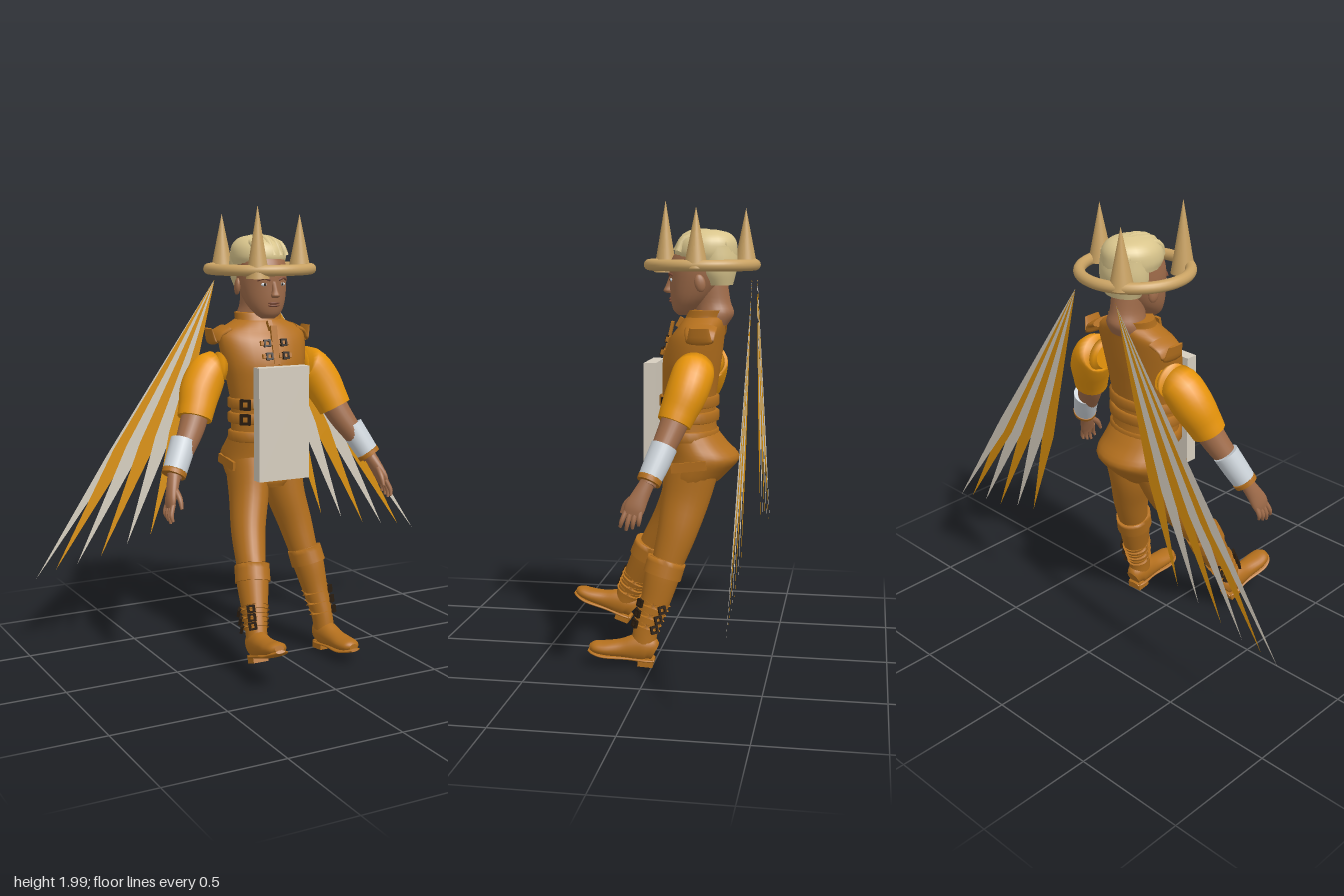
import * as THREE from 'three';

const mat = (name, color, extra = {}) => Object.assign(new THREE.MeshStandardMaterial({ color, ...extra }), { name });

export function createModel() {
  const root = new THREE.Group();
  const leather = mat('leather', 0xb36f1d), orange = mat('orange', 0xf79f0c);
  const skin = mat('skin', 0xa06c4a), lip = mat('lip', 0x7c4a36), hairMat = mat('hair', 0xd9c58c);
  const gold = mat('pale gold', 0xc9a263), ivory = mat('ivory', 0xd6cebf);
  const linen = mat('linen', 0xcbd2d8), iron = mat('dark iron', 0x2a1d10);
  const featherMats = [mat('ivory feather', 0xd6cebf, { side: THREE.DoubleSide }),
    mat('orange feather', 0xda910e, { side: THREE.DoubleSide })];
  // a standard single colour is used for all ivory parts
  const add = (name, geo, material, pos = [0, 0, 0], rot = [0, 0, 0], parent = root) => {
    const m = new THREE.Mesh(geo, material);
    m.name = name;
    m.position.set(...pos);
    m.rotation.set(...rot);
    parent.add(m);
    return m;
  };
  const box = (w, h, d) => new THREE.BoxGeometry(w, h, d);

  // smooth skin over elliptical rings; each row is [x, y, z, radiusAcross, radiusDeep]
  function loft(rows, { upright = false, steps = 4, n = 24 } = {}) {
    const curve = (f) => new THREE.CatmullRomCurve3(rows.map(f), false, 'catmullrom', 0.5);
    const centre = curve((r) => new THREE.Vector3(r[0], r[1], r[2]));
    const radii = curve((r) => new THREE.Vector3(r[3], r[4], 0));
    const count = (rows.length - 1) * steps, pos = [], idx = [], rings = [];
    const X = new THREE.Vector3(1, 0, 0);
    for (let i = 0; i <= count; i++) {
      const c = centre.getPoint(i / count), r = radii.getPoint(i / count);
      const t = upright ? new THREE.Vector3(0, Math.sign(rows.at(-1)[1] - rows[0][1]), 0) : centre.getTangent(i / count);
      const u = X.clone().addScaledVector(t, -t.x).normalize(), v = t.clone().cross(u);
      const ring = [];
      for (let j = 0; j < n; j++) {
        const a = (j / n) * Math.PI * 2;
        const p = c.clone().addScaledVector(u, r.x * Math.cos(a)).addScaledVector(v, r.y * Math.sin(a));
        ring.push(p);
        pos.push(p.x, p.y, p.z);
        if (i < count) {
          const k = (j + 1) % n, A = i * n + j, B = i * n + k;
          idx.push(A, B, A + n, B, B + n, A + n);
        }
      }
      rings.push([c, ring]);
    }
    [[rings[0], true], [rings[count], false]].forEach(([[c, ring], start]) => {
      const o = pos.length / 3;
      [c, ...ring].forEach((p) => pos.push(p.x, p.y, p.z));
      for (let j = 0; j < n; j++) {
        const a = o + 1 + j, b = o + 1 + ((j + 1) % n);
        idx.push(o, start ? b : a, start ? a : b);
      }
    });
    const g = new THREE.BufferGeometry();
    g.setAttribute('position', new THREE.Float32BufferAttribute(pos, 3));
    g.setIndex(idx);
    g.computeVertexNormals();
    return g;
  }
  const up = { upright: true };
  const tube = (pts, r) => new THREE.TubeGeometry(
    new THREE.CatmullRomCurve3(pts.map((p) => new THREE.Vector3(...p))), 12, r, 8);

  // vest, skirt of the jacket and trousers seat
  add('vest', loft([[0, 0.93, -0.14, 0.165, 0.125], [0, 1.02, -0.128, 0.163, 0.118], [0, 1.12, -0.127, 0.163, 0.114],
    [0, 1.22, -0.132, 0.178, 0.12], [0, 1.31, -0.14, 0.195, 0.125], [0, 1.4, -0.16, 0.207, 0.115],
    [0, 1.45, -0.18, 0.195, 0.1], [0, 1.485, -0.195, 0.13, 0.09], [0, 1.5, -0.2, 0.1, 0.08]], up), leather);
  add('jacketSkirt', loft([[0, 0.79, -0.14, 0.172, 0.125], [0, 0.83, -0.158, 0.18, 0.145], [0, 0.89, -0.183, 0.184, 0.165],
    [0, 0.95, -0.155, 0.176, 0.14], [0, 1.0, -0.13, 0.168, 0.124]], up), leather);
  add('trouserSeat', loft([[0, 0.9, -0.15, 0.15, 0.12], [0, 0.8, -0.14, 0.15, 0.12], [0, 0.76, -0.13, 0.1, 0.1]], up), leather);
  add('collar', loft([[0, 1.46, -0.19, 0.125, 0.095], [0, 1.49, -0.195, 0.11, 0.085], [0, 1.525, -0.205, 0.108, 0.08]], up), leather);
  for (const y of [0.99, 1.07, 1.135]) {
    add('waistBelt', loft([[0, y - 0.024, -0.127, 0.165, 0.117], [0, y - 0.019, -0.127, 0.177, 0.129],
      [0, y + 0.019, -0.127, 0.177, 0.129], [0, y + 0.024, -0.127, 0.165, 0.117]], { upright: true, steps: 1, n: 32 }), leather);
  }
  add('placket', box(0.03, 0.17, 0.012), leather, [0, 1.39, -0.036], [-0.22, 0, 0]);
  add('collarClasp', box(0.02, 0.045, 0.02), leather, [0, 1.47, -0.085], [-0.5, 0, 0]);

  // open square buckle made of four bars
  function buckle(pos, rot, size = 0.03, parent = root) {
    const g = new THREE.Group();
    g.name = 'buckle';
    g.position.set(...pos);
    g.rotation.set(...rot);
    for (const s of [-1, 1]) {
      add('buckleBar', box(size, size * 0.28, 0.012), iron, [0, s * size * 0.4, 0], [0, 0, 0], g);
      add('buckleBar', box(size * 0.28, size, 0.012), iron, [s * size * 0.4, 0, 0], [0, 0, 0], g);
    }
    parent.add(g);
  }
  for (const s of [-1, 1]) {
    for (const y of [1.4, 1.345]) {
      add('chestStrap', box(0.06, 0.02, 0.012), leather, [s * 0.04, y, -0.04 + (1.4 - y) * 0.4], [-0.25, 0, 0]);
      buckle([s * 0.04, y, -0.034 + (1.4 - y) * 0.4], [-0.25, s * 0.1, 0]);
    }
    for (const y of [1.07, 1.135]) buckle([s * 0.142, y, -0.045], [0, s * 0.75, 0], 0.045);
    add('pocketFlap', box(0.012, 0.04, 0.15), leather, [s * 0.183, 0.87, -0.15], [0.12, 0, 0]);
    add('shoulderFlap', loft([[s * 0.16, 1.455, -0.2, 0.02, 0.07], [s * 0.205, 1.435, -0.2, 0.014, 0.065],
      [s * 0.225, 1.4, -0.2, 0.012, 0.055], [s * 0.243, 1.46, -0.2, 0.006, 0.04]], { n: 16 }), leather);
  }

  // neck, head and face
  add('neck', loft([[0, 1.46, -0.22, 0.085, 0.07], [0, 1.51, -0.235, 0.08, 0.083], [0, 1.56, -0.225, 0.068, 0.078],
    [0, 1.64, -0.21, 0.07, 0.08]], up), skin);
  add('head', loft([[0, 1.502, -0.102, 0.03, 0.025], [0, 1.525, -0.108, 0.06, 0.052], [0, 1.575, -0.135, 0.088, 0.09],
    [0, 1.65, -0.163, 0.104, 0.122], [0, 1.72, -0.175, 0.107, 0.134], [0, 1.78, -0.19, 0.1, 0.115],
    [0, 1.82, -0.19, 0.06, 0.07]], up), skin);
  add('nose', loft([[0, 1.665, -0.05, 0.011, 0.012], [0, 1.625, -0.038, 0.013, 0.016], [0, 1.605, -0.032, 0.02, 0.019],
    [0, 1.595, -0.036, 0.014, 0.012]], { upright: true, n: 12 }), skin);
  for (const y of [1.56, 1.571]) add('lip', new THREE.SphereGeometry(1, 12, 8), lip, [0, y, -0.048]).scale.set(0.028, 0.006, 0.011);
  for (const s of [-1, 1]) {
    add('eye', new THREE.SphereGeometry(1, 12, 8), linen, [s * 0.042, 1.652, -0.055]).scale.set(0.017, 0.008, 0.007);
    add('pupil', new THREE.SphereGeometry(0.006, 8, 6), iron, [s * 0.042, 1.652, -0.051]);
    add('eyebrow', tube([[s * 0.02, 1.67, -0.042], [s * 0.045, 1.678, -0.046], [s * 0.07, 1.67, -0.066]], 0.005), lip);
    add('ear', new THREE.SphereGeometry(1, 12, 10), skin, [s * 0.108, 1.64, -0.185], [0.2, s * 0.3, 0]).scale.set(0.014, 0.038, 0.024);
  }

  // hair with combed locks
  add('hairTop', loft([[0, 1.735, -0.2, 0.112, 0.128], [0, 1.77, -0.195, 0.12, 0.135], [0, 1.815, -0.2, 0.112, 0.125],
    [0, 1.848, -0.205, 0.08, 0.09], [0, 1.863, -0.205, 0.025, 0.03]], up), hairMat);
  add('hairBack', loft([[0, 1.63, -0.25, 0.085, 0.062], [0, 1.68, -0.24, 0.108, 0.085], [0, 1.73, -0.24, 0.113, 0.092],
    [0, 1.79, -0.235, 0.11, 0.088]], up), hairMat);
  for (let i = -2; i <= 2; i++) {
    add('hairLock', tube([[i * 0.035 + 0.01, 1.77, -0.07 - Math.abs(i) * 0.01], [i * 0.033, 1.835 - i * i * 0.004, -0.11],
      [i * 0.028, 1.85 - i * i * 0.005, -0.2], [i * 0.035, 1.8, -0.315 + i * i * 0.005]], 0.016), hairMat);
  }

  // crown: ring with three spikes
  add('crownRing', new THREE.TorusGeometry(0.225, 0.024, 16, 64), gold, [0, 1.715, -0.18], [Math.PI / 2, 0, 0]);
  [[0.2, -0.18, 1.705, 1.955], [-0.1, -0.005, 1.68, 1.99], [-0.1, -0.355, 1.705, 1.955]].forEach(([x, z, y0, y1]) =>
    add('crownSpike', new THREE.ConeGeometry(0.051, y1 - y0, 32), gold, [x, (y0 + y1) / 2, z]));

  // arms
  for (const s of [-1, 1]) {
    const limb = (rows, o) => loft(rows.map(([x, ...r]) => [s * x, ...r]), o);
    add('sleeve', limb([[0.17, 1.285, -0.18, 0.055, 0.065], [0.245, 1.28, -0.18, 0.082, 0.086], [0.3, 1.205, -0.16, 0.09, 0.087],
      [0.335, 1.125, -0.13, 0.08, 0.077], [0.352, 1.082, -0.115, 0.076, 0.071]]), orange);
    add('forearm', limb([[0.335, 1.12, -0.13, 0.06, 0.06], [0.375, 1.04, -0.1, 0.056, 0.054], [0.43, 0.95, -0.065, 0.045, 0.045],
      [0.49, 0.85, -0.03, 0.032, 0.034]]), skin);
    add('wristWrap', limb([[0.418, 0.995, -0.085, 0.057, 0.055], [0.452, 0.93, -0.06, 0.055, 0.053],
      [0.483, 0.872, -0.037, 0.052, 0.049]]), linen);
    add('cuff', limb([[0.48, 0.878, -0.04, 0.054, 0.051], [0.49, 0.86, -0.033, 0.053, 0.05]]), leather);
    add('palm', limb([[0.488, 0.86, -0.03, 0.028, 0.03], [0.508, 0.81, -0.005, 0.025, 0.036], [0.525, 0.765, 0.015, 0.02, 0.042],
      [0.532, 0.735, 0.025, 0.014, 0.038]]), skin);
    for (let i = 0; i < 4; i++) {
      const k = i - 1.5, l = 0.07 - Math.abs(k - 0.3) * 0.012;
      add('finger', limb([[0.527, 0.755, 0.02 + k * 0.019, 0.011, 0.011], [0.543, 0.74 - l * 0.5, 0.03 + k * 0.023, 0.01, 0.01],
        [0.54, 0.74 - l, 0.036 + k * 0.025, 0.006, 0.006]], { n: 10 }), skin);
    }
    add('thumb', limb([[0.505, 0.81, 0.015, 0.014, 0.014], [0.5, 0.775, 0.055, 0.012, 0.012],
      [0.5, 0.735, 0.075, 0.007, 0.007]], { n: 10 }), skin);
  }

  // legs and boots, each with its own pose
  function leg(rows, boot, ankle, pitch) {
    const s = Math.sign(ankle[0]);
    add('trouserLeg', loft(rows), leather);
    add('bootShaft', loft(boot), leather);
    const [top, , mid] = boot;
    add('bootCuff', loft([top, boot[1]].map(([x, y, z, a, b]) => [x, y, z, a + 0.008, b + 0.008])), leather);
    // straps and buckles down the shaft
    for (const f of [0.1, 0.5, 0.9]) {
      const c = mid.map((v, i) => v + (boot[3][i] - v) * f), d = mid.map((v, i) => boot[3][i] - v);
      const w = (q) => [c[0] + d[0] * q, c[1] + d[1] * q, c[2] + d[2] * q, c[3] + 0.007, c[4] + 0.007];
      add('bootStrap', loft([w(-0.1), w(0.1)], { steps: 1 }), leather);
      const tilt = Math.atan2(d[2], -d[1]);
      for (const a of [0.75, 2.2]) {
        buckle([c[0] + s * Math.sin(a) * (c[3] + 0.011), c[1] + Math.cos(a) * c[4] * Math.sin(tilt), c[2] + Math.cos(a) * (c[4] + 0.011)],
          [-tilt * Math.cos(a), s * a, 0], 0.032);
      }
    }
    const foot = new THREE.Group();
    foot.name = 'foot';
    foot.position.set(...ankle);
    foot.rotation.set(pitch, s * 0.06, 0);
    root.add(foot);
    add('shoe', loft([[0, -0.035, -0.055, 0.032, 0.04], [0, -0.02, -0.02, 0.046, 0.06], [0, -0.025, 0.03, 0.046, 0.058],
      [0, -0.035, 0.09, 0.045, 0.042], [0, -0.042, 0.16, 0.05, 0.032], [0, -0.042, 0.205, 0.042, 0.026],
      [0, -0.044, 0.228, 0.02, 0.014]]), leather, [0, 0, 0], [0, 0, 0], foot);
    add('sole', loft([[0, -0.07, -0.058, 0.032, 0.01], [0, -0.07, -0.02, 0.044, 0.01], [0, -0.069, 0.06, 0.04, 0.01],
      [0, -0.069, 0.16, 0.054, 0.01], [0, -0.062, 0.21, 0.044, 0.009], [0, -0.056, 0.234, 0.02, 0.007]]), leather, [0, 0, 0], [0, 0, 0], foot);
    add('heel', box(0.068, 0.035, 0.065), leather, [0, -0.08, -0.02], [0, 0, 0], foot);
  }
  leg([[0.085, 0.86, -0.15, 0.088, 0.12], [0.095, 0.72, -0.125, 0.084, 0.105], [0.13, 0.58, -0.095, 0.074, 0.086], [0.157, 0.44, -0.055, 0.062, 0.068]],
    [[0.157, 0.46, -0.055, 0.066, 0.076], [0.17, 0.39, -0.035, 0.068, 0.076], [0.188, 0.28, -0.008, 0.056, 0.064],
      [0.204, 0.17, 0.027, 0.046, 0.054], [0.211, 0.09, 0.04, 0.044, 0.054]], [0.212, 0.1, 0.042], -0.08);
  leg([[-0.085, 0.86, -0.15, 0.088, 0.12], [-0.1, 0.72, -0.1, 0.084, 0.105], [-0.138, 0.58, -0.03, 0.074, 0.086], [-0.168, 0.44, 0.058, 0.062, 0.068]],
    [[-0.166, 0.45, 0.06, 0.066, 0.076], [-0.178, 0.38, 0.09, 0.068, 0.076], [-0.195, 0.285, 0.14, 0.056, 0.064],
      [-0.21, 0.205, 0.183, 0.046, 0.054], [-0.217, 0.15, 0.205, 0.044, 0.052]], [-0.218, 0.163, 0.205], -0.32);

  // plate hung in front of the body
  add('frontPlate', box(0.245, 0.495, 0.052), ivory, [-0.002, 1.055, 0.027]);

  // flat wings: overlapping long feathers fanned from one point
  const tips = [[0.99, 0.375], [0.9, 0.405], [0.8, 0.42], [0.69, 0.44], [0.565, 0.48], [0.45, 0.51]];
  for (const s of [-1, 1]) {
    const wing = new THREE.Group();
    wing.name = s > 0 ? 'leftWing' : 'rightWing';
    root.add(wing);
    tips.forEach(([tx, ty], i) => {
      const a = new THREE.Vector2(0.115, 1.66), d = new THREE.Vector2(tx, ty).sub(a);
      const n = new THREE.Vector2(-d.y, d.x).normalize();
      const at = (f, w) => a.clone().addScaledVector(d, f).addScaledVector(n, w);
      const pts = [a, at(0.6, i ? 0.034 : 0.012), at(1, 0), at(0.62, -0.036)].map((p) => new THREE.Vector2(s * p.x, p.y));
      add('feather', new THREE.ShapeGeometry(new THREE.Shape(pts)), featherMats[i % 2], [0, 0, -0.406 + i * 0.0006], [0, 0, 0], wing);
    });
  }
  return root;
}
